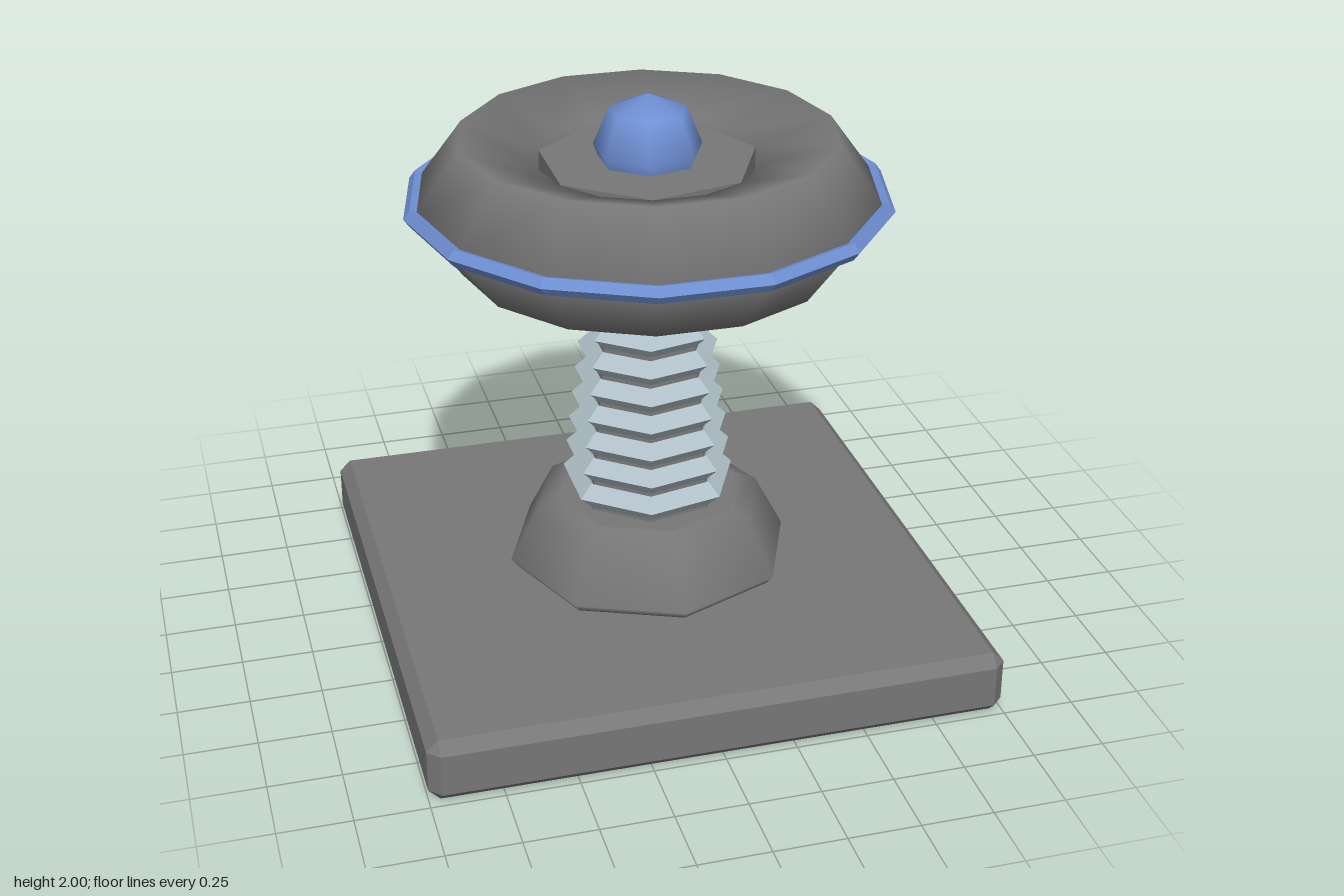
import * as THREE from 'three';
import { ConvexGeometry } from 'three/addons/geometries/ConvexGeometry.js';

function material(name, color) {
  const m = new THREE.MeshStandardMaterial({ color });
  m.name = name;
  return m;
}

export function createModel() {
  const group = new THREE.Group();
  const grey = material('grey', 0x767776);
  const silver = material('silver', 0xb2c2ca);
  const blue = material('blue', 0x6f90d4);

  const add = (name, geometry, mat, y = 0) => {
    const mesh = new THREE.Mesh(geometry, mat);
    mesh.name = name;
    mesh.position.y = y;
    group.add(mesh);
    return mesh;
  };
  const faceted = (geometry) => {
    const g = geometry.toNonIndexed();
    g.computeVertexNormals();
    return g;
  };
  // Horizontal ring with its first corner on +x
  const ring = (radius, tube, sides, segments) =>
    new THREE.TorusGeometry(radius, tube, sides, segments).rotateX(-Math.PI / 2);
  // Seven-sided post with its first corner on +x
  const post = (top, bottom, height) =>
    new THREE.CylinderGeometry(top, bottom, height, 7).rotateY(Math.PI / 2);

  // Base plate, a box with every edge chamfered
  const c = 0.04, h = 0.115;
  const corners = [];
  for (const x of [-1, 1]) for (const y of [-1, 1]) for (const z of [-1, 1]) {
    corners.push(
      new THREE.Vector3(x, y * (h - c), z * (1 - c)),
      new THREE.Vector3(x * (1 - c), y * h, z * (1 - c)),
      new THREE.Vector3(x * (1 - c), y * (h - c), z));
  }
  add('basePlate', new ConvexGeometry(corners), grey, h);

  // Eight-sided collar at the foot of the column
  const profile = [[0.46, 0.225], [0.487, 0.238], [0.513, 0.27], [0.41, 0.468], [0.34, 0.499], [0.325, 0.5], [0, 0.5]];
  add('collar', new THREE.LatheGeometry(profile.map(([x, y]) => new THREE.Vector2(x, y)), 8), grey);

  // Tapered column and its ribbed bellows
  add('columnCore', faceted(post(0.165, 0.262, 1.02)), grey, 1.0);
  for (let i = 0; i < 9; i++) {
    const outer = 0.313 - i * 0.0118;
    add('bellowsRib' + (i + 1), faceted(ring(outer - 0.047, 0.047, 4, 7)), silver, 0.56 + i * 0.1);
  }

  // Wheel with hub and coloured rim
  add('wheel', ring(0.577, 0.234, 5, 14), grey, 1.6375);
  add('hub', faceted(post(0.38, 0.38, 0.27)), grey, 1.6375);
  add('rim', faceted(ring(0.809, 0.032, 5, 14)), blue, 1.6375);

  // Rounded knob on top
  add('knob', new THREE.SphereGeometry(0.19, 7, 4).rotateY(Math.PI), blue, 1.81);

  return group;
}
